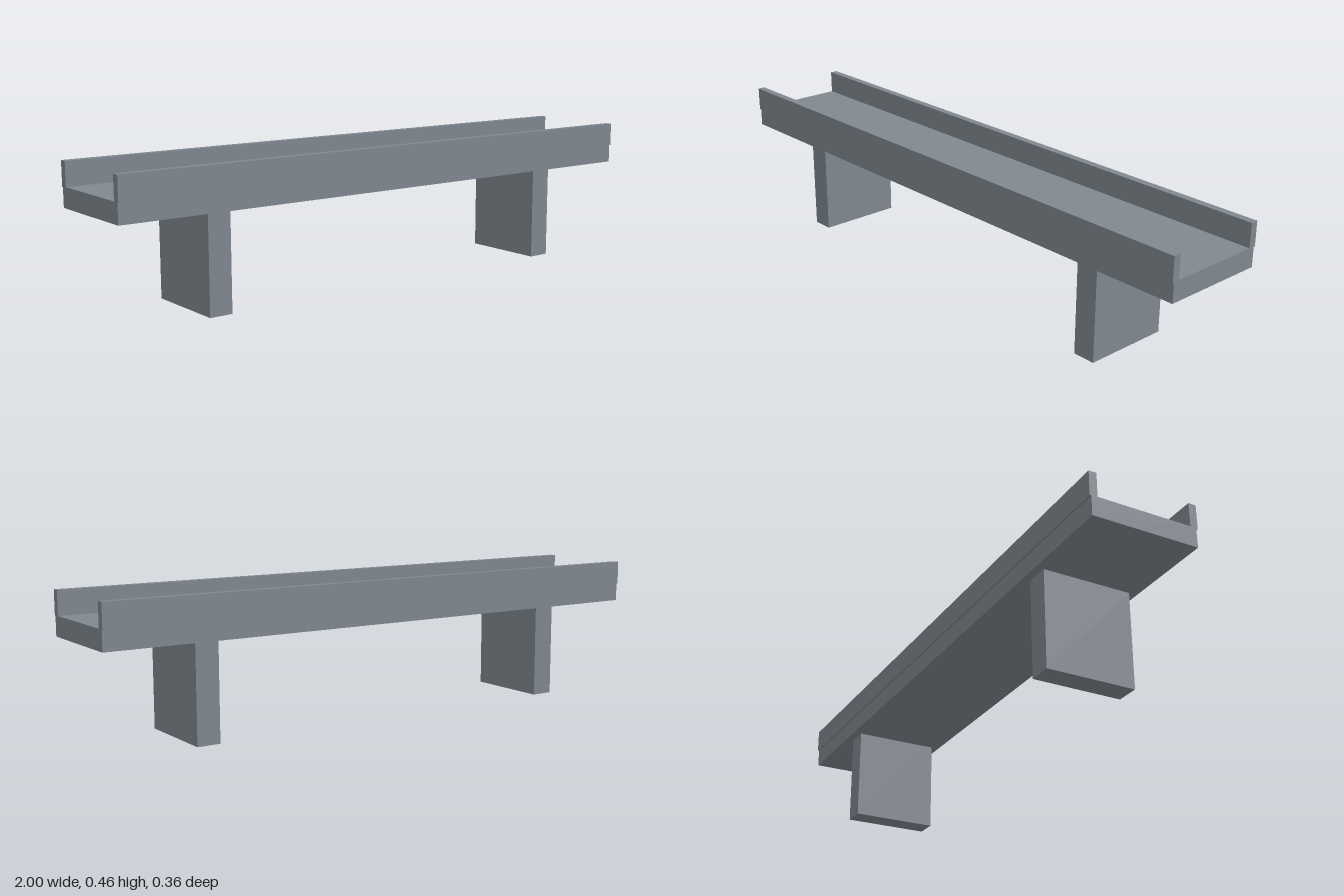
import * as THREE from 'three';

export function createModel() {
  const bridge = new THREE.Group();
  bridge.name = 'bridge';
  const concrete = new THREE.MeshStandardMaterial({ color: 0x808890 });
  concrete.name = 'concrete grey';

  // Box given by its width, depth, bottom and top heights, and centre in plan
  const addBox = (name, width, depth, bottom, top, x = 0, z = 0) => {
    const mesh = new THREE.Mesh(new THREE.BoxGeometry(width, top - bottom, depth), concrete);
    mesh.name = name;
    mesh.position.set(x, (bottom + top) / 2, z);
    bridge.add(mesh);
  };

  // Road deck
  addBox('deck', 2, 0.346, 0.315, 0.379);

  // Side walls, standing slightly proud of the deck edges
  addBox('frontParapet', 2, 0.025, 0.377, 0.456, 0, 0.1655);
  addBox('backParapet', 2, 0.025, 0.377, 0.456, 0, -0.1655);

  // Supporting piers
  addBox('leftPier', 0.076, 0.292, 0, 0.315, 0.666);
  addBox('rightPier', 0.076, 0.292, 0, 0.315, -0.666);

  return bridge;
}
